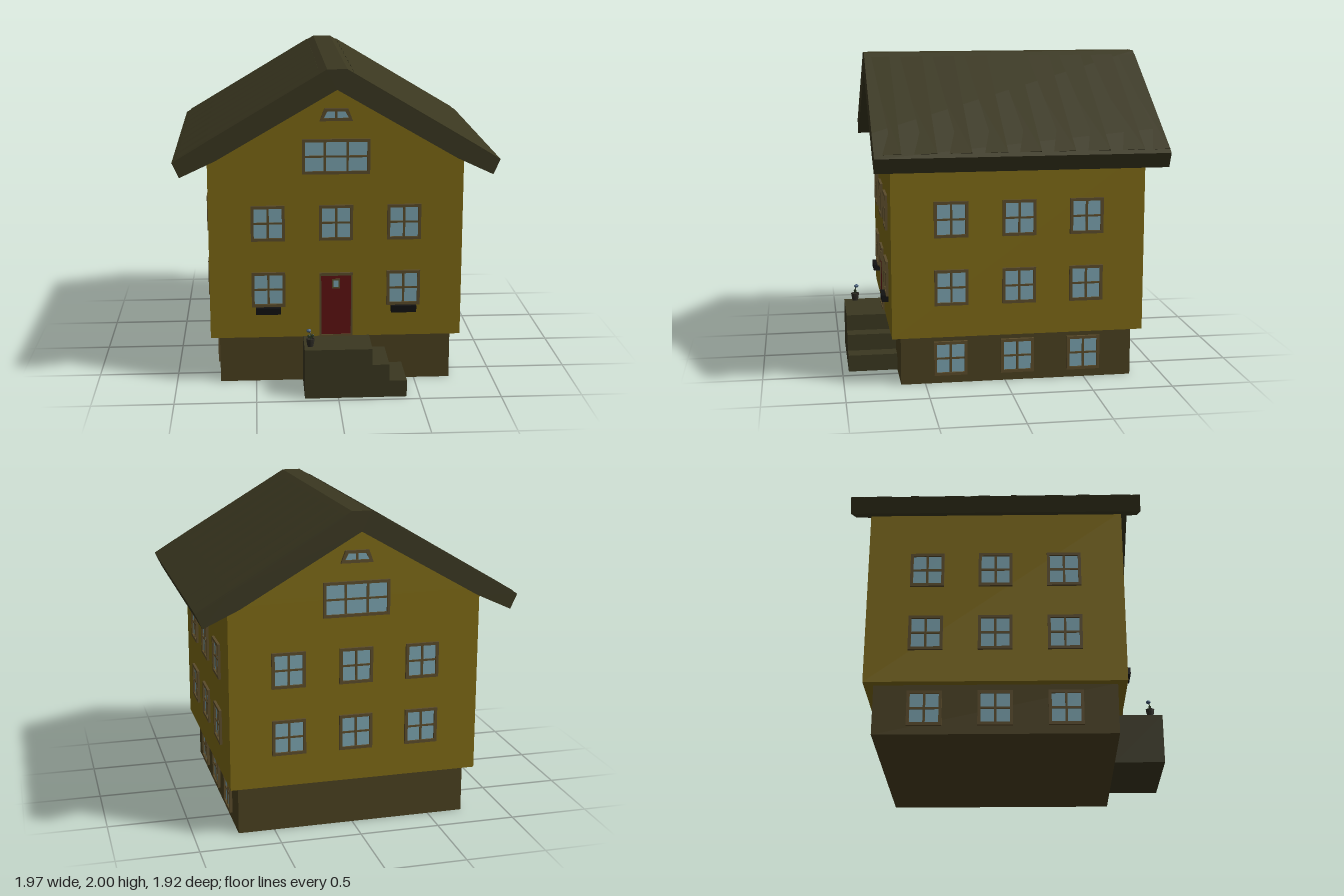
import * as THREE from 'three';

const mat = (color) => new THREE.MeshStandardMaterial({ color, flatShading: true, roughness: 0.9 });

export function createModel() {
  const M = {
    wall: mat(0x7d6914), base: mat(0x4a401f), roof: mat(0x3a3720), step: mat(0x3a3720),
    frame: mat(0x5a4b2a), glass: mat(0x7aa2ae), door: mat(0x5e1212), planter: mat(0x121212),
    pot: mat(0x2c2a24), leaf: mat(0x2c3a24), flower: mat(0x405a78),
  };
  const house = new THREE.Group();
  house.name = 'house';
  const CZ = -0.076; // centre of the house body in z

  const add = (parent, name, geo, material, x = 0, y = 0, z = 0) => {
    const m = new THREE.Mesh(geo, material);
    m.name = name;
    m.position.set(x, y, z);
    parent.add(m);
    return m;
  };
  const box = (parent, name, material, x0, x1, y0, y1, z0, z1) =>
    add(parent, name, new THREE.BoxGeometry(x1 - x0, y1 - y0, z1 - z0), material,
      (x0 + x1) / 2, (y0 + y1) / 2, (z0 + z1) / 2);
  const points = (pts) => pts.map(([x, y]) => new THREE.Vector2(x, y));
  const extrude = (pts, depth, hole) => {
    const shape = new THREE.Shape(points(pts));
    if (hole) shape.holes.push(new THREE.Path(points(hole)));
    return new THREE.ExtrudeGeometry(shape, { depth, bevelEnabled: false });
  };
  // symmetric trapezoid around the origin: half bottom, half top, half height
  const trapezoid = (b, t, h) => [[-b, -h], [b, -h], [t, h], [-t, h]];

  // Foundation and walls with gables
  box(house, 'foundation', M.base, -0.725, 0.725, 0, 0.315, -0.80, 0.65);
  add(house, 'walls', extrude([
    [-0.78, 0.31], [0.78, 0.31], [0.78, 1.45], [0.725, 1.48], [0, 1.9], [-0.725, 1.48], [-0.78, 1.45],
  ], 1.564), M.wall, 0, 0, -0.858);

  // Roof shell with a flat ridge and flared eaves
  const half = [[0.06, 2], [0.778, 1.575], [0.984, 1.45], [0.942, 1.358], [0.725, 1.459]];
  const mirrored = half.map(([x, y]) => [-x, y]).reverse();
  add(house, 'roof', extrude([...half, [0, 1.878], ...mirrored], 1.77), M.roof, 0, 0, -0.96);

  // Slightly tilted roofing panels that overlap along the slopes
  const seams = [-0.96, -0.805, -0.595, -0.385, -0.18, 0.022, 0.235, 0.44, 0.65, 0.81];
  for (const side of [-1, 1]) {
    const slope = new THREE.Group();
    slope.name = side > 0 ? 'leftRoofPanels' : 'rightRoofPanels';
    slope.position.set(side * 0.525, 1.719, 0);
    slope.rotation.z = -side * Math.atan2(0.55, 0.924);
    for (let i = 0; i < seams.length - 1; i++) {
      const panel = add(slope, 'roofPanel',
        new THREE.BoxGeometry(0.99, 0.01, seams[i + 1] - seams[i]), M.roof,
        0, 0, (seams[i] + seams[i + 1]) / 2);
      panel.rotation.x = 0.035;
    }
    house.add(slope);
  }

  // Window: raised frame, recessed glass and glazing bars; faces +z
  const makeWindow = (name, b, t, h, cols, rows, x, y, z, turn = 0) => {
    const g = new THREE.Group();
    g.name = name;
    const rim = 0.018;
    const inner = trapezoid(b - (b > t ? 0.024 : rim), t - rim, h - rim);
    add(g, 'windowFrame', extrude(trapezoid(b, t, h), 0.02, inner), M.frame, 0, 0, -0.004);
    add(g, 'glass', extrude(inner, 0.008), M.glass, 0, 0, -0.004);
    for (let i = 1; i < cols; i++) {
      const bx = -b + (2 * b * i) / cols;
      box(g, 'glazingBar', M.frame, bx - 0.007, bx + 0.007, -h + rim, h - rim, 0, 0.011);
    }
    for (let i = 1; i < rows; i++) {
      const by = -h + (2 * h * i) / rows;
      box(g, 'glazingBar', M.frame, -b + rim, b - rim, by - 0.006, by + 0.006, 0, 0.01);
    }
    g.position.set(x, y, z);
    g.rotation.y = turn;
    house.add(g);
  };

  const rows = [0.623, 1.045], cols = [-0.418, 0, 0.418];
  // Front and back faces
  for (const [z, turn, front] of [[0.706, 0, true], [-0.858, Math.PI, false]]) {
    for (const y of rows) for (const x of cols) {
      if (front && x === 0 && y < 1) continue; // the door stands here
      makeWindow('window', 0.104, 0.104, 0.111, 2, 2, x, y, z, turn);
    }
    makeWindow('atticWindow', 0.206, 0.206, 0.108, 3, 2, 0, 1.458, z, turn);
    makeWindow('gableWindow', 0.1, 0.072, 0.038, 2, 1, 0, 1.714, z, turn);
  }
  // Side faces, with basement windows in the foundation
  for (const side of [-1, 1]) for (const dz of cols) {
    const turn = side * Math.PI / 2;
    for (const y of rows) makeWindow('sideWindow', 0.104, 0.104, 0.111, 2, 2, side * 0.78, y, CZ + dz, turn);
    makeWindow('basementWindow', 0.104, 0.104, 0.108, 2, 2, side * 0.727, 0.16, CZ + dz, turn);
  }

  // Front door with a small light
  const door = new THREE.Group();
  door.name = 'frontDoor';
  house.add(door);
  add(door, 'doorFrame', extrude([[-0.103, 0.312], [0.103, 0.312], [0.103, 0.725], [-0.103, 0.725]], 0.02,
    [[-0.092, 0.325], [0.092, 0.325], [0.092, 0.707], [-0.092, 0.707]]), M.frame, 0, 0, 0.7);
  box(door, 'doorPanel', M.door, -0.093, 0.093, 0.324, 0.708, 0.7, 0.714);
  add(door, 'doorLightFrame', extrude(trapezoid(0.025, 0.025, 0.031), 0.008,
    trapezoid(0.016, 0.016, 0.022)), M.frame, 0, 0.655, 0.711);
  box(door, 'doorLight', M.glass, -0.017, 0.017, 0.632, 0.678, 0.71, 0.716);

  // Planter boxes below the ground floor windows
  for (const side of [-1, 1]) {
    box(house, 'planterBox', M.planter, side * 0.42 - 0.078, side * 0.42 + 0.078, 0.47, 0.512, 0.704, 0.747);
  }

  // Landing with steps going down to the left
  add(house, 'steps', extrude([
    [-0.205, 0], [0.42, 0], [0.42, 0.105], [0.312, 0.105],
    [0.312, 0.21], [0.208, 0.21], [0.208, 0.312], [-0.205, 0.312],
  ], 0.31), M.step, 0, 0, 0.65);

  // Potted flower on the landing
  const plant = new THREE.Group();
  plant.name = 'pottedFlower';
  plant.position.set(-0.168, 0.312, 0.887);
  house.add(plant);
  add(plant, 'pot', new THREE.LatheGeometry(
    points([[0, 0], [0.018, 0], [0.025, 0.035], [0.027, 0.05], [0.022, 0.05], [0.021, 0.043], [0, 0.043]]), 10), M.pot);
  const stem = new THREE.CatmullRomCurve3([
    new THREE.Vector3(0, 0.04, 0), new THREE.Vector3(0.004, 0.07, 0), new THREE.Vector3(-0.008, 0.1, -0.01)]);
  add(plant, 'stem', new THREE.TubeGeometry(stem, 6, 0.003, 5), M.leaf);
  for (const [x, y, z] of [[0.012, 0.07, 0.006], [-0.008, 0.062, -0.006]]) {
    const leaf = add(plant, 'leaf', new THREE.SphereGeometry(0.012, 6, 4), M.leaf, x, y, z);
    leaf.scale.set(0.8, 1, 0.3);
    leaf.rotation.z = -x * 50;
  }
  const bloom = add(plant, 'flower', new THREE.SphereGeometry(0.016, 7, 5), M.flower, -0.009, 0.097, -0.01);
  bloom.scale.set(1, 0.7, 1);
  return house;
}
